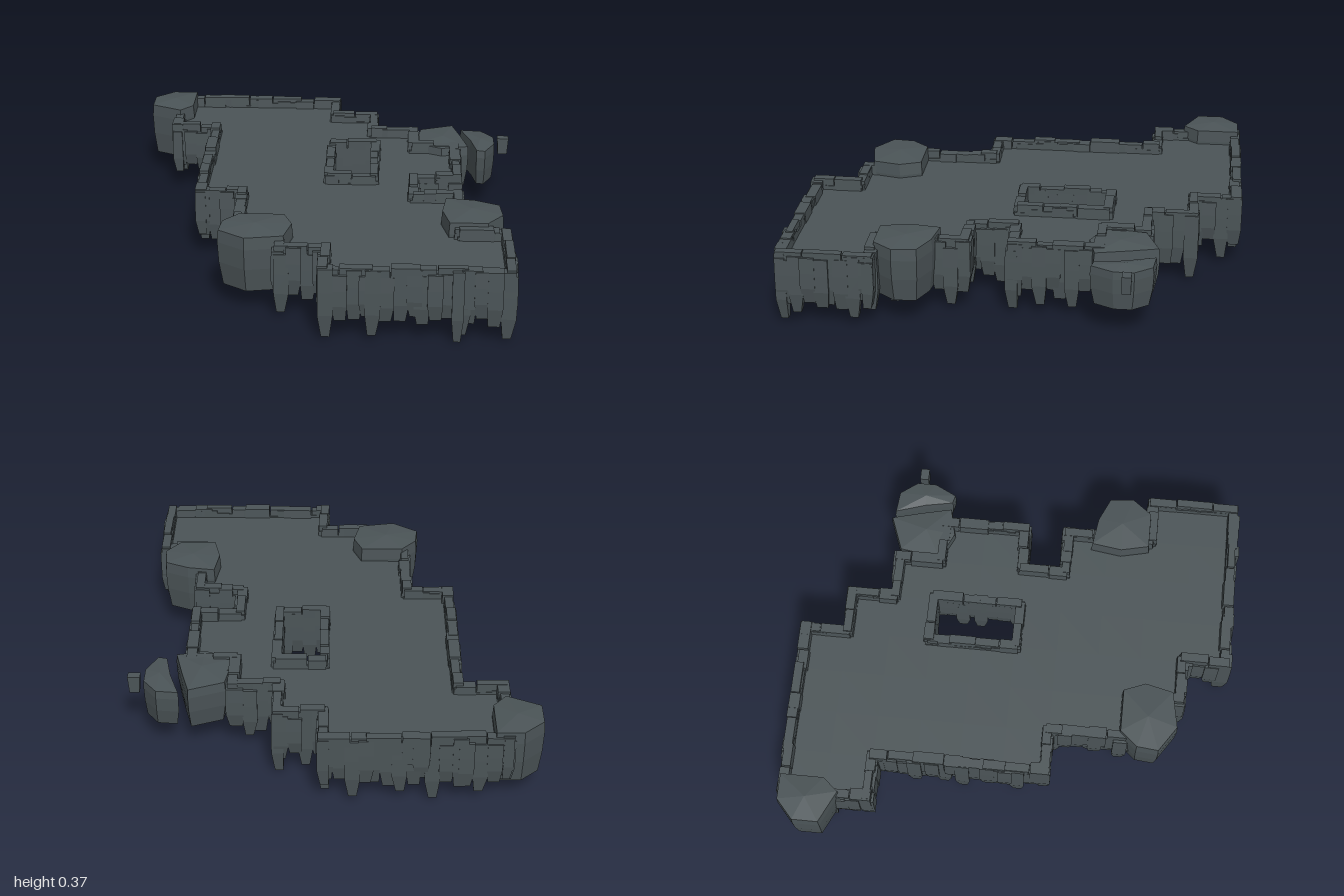
import * as THREE from 'three';
import { mergeGeometries } from 'three/addons/utils/BufferGeometryUtils.js';

// Floor plan: one character per square cell, back row first
const PLAN = [
  '####....',
  '#####...',
  '.#####..',
  '.###.##.',
  '.###.##.',
  '.#####..',
  '..#####.',
  '..#####.',
  '...#####',
  '....####',
];
const CELL_X = 0.196, CELL_Z = 0.194, X0 = -0.745, Z0 = -0.97;
const FLOOR_Y = 0.29;
const filled = (col, row) => PLAN[row]?.[col] === '#';
const isHole = (col, row) => col === 4 && (row === 3 || row === 4);

let seed = 11;
const rand = (lo, hi) => {
  seed = (seed * 16807) % 2147483647;
  return lo + (hi - lo) * (seed / 2147483647);
};

// Faceted normals
function facet(geometry) {
  const g = geometry.index ? geometry.toNonIndexed() : geometry;
  g.deleteAttribute('uv');
  g.computeVertexNormals();
  return g;
}

// Box between two corners whose vertices are moved by a rule
function block(x0, x1, y0, y1, z0, z1, rule, ySegments = 1) {
  const g = new THREE.BoxGeometry(x1 - x0, y1 - y0, z1 - z0, 1, ySegments, 1);
  const p = g.attributes.position, v = new THREE.Vector3();
  for (let i = 0; i < p.count; i++) {
    v.fromBufferAttribute(p, i);
    rule(v, v.y / (y1 - y0) + 0.5);
    p.setXYZ(i, v.x, v.y, v.z);
  }
  g.translate((x0 + x1) / 2, (y0 + y1) / 2, (z0 + z1) / 2);
  return facet(g);
}

// Faceted boulder: outline points run clockwise seen from above
function boulder(points, y0, y1) {
  const n = points.length;
  const cx = points.reduce((s, p) => s + p[0], 0) / n;
  const cz = points.reduce((s, p) => s + p[1], 0) / n;
  const h = y1 - y0;
  const rings = [[y0, 0.86], [y0 + h * 0.4, 0.97], [y0 + h * 0.75, 1], [y1 - 0.012, 0.97]].map(
    ([y, s]) => points.map(([x, z]) => [cx + (x - cx) * s, y, cz + (z - cz) * s]));
  const out = [];
  for (let i = 0; i < n; i++) {
    const j = (i + 1) % n;
    for (let r = 0; r < rings.length - 1; r++) {
      const lo = rings[r], hi = rings[r + 1];
      out.push(...lo[i], ...hi[i], ...hi[j], ...lo[i], ...hi[j], ...lo[j]);
    }
    const top = rings[rings.length - 1];
    out.push(cx, y1, cz, ...top[j], ...top[i]);
    out.push(cx, y0, cz, ...rings[0][i], ...rings[0][j]);
  }
  const g = new THREE.BufferGeometry();
  g.setAttribute('position', new THREE.Float32BufferAttribute(out, 3));
  return facet(g);
}

export function createModel() {
  seed = 11;
  const slate = new THREE.MeshStandardMaterial({ color: 0x4b5457 });
  slate.name = 'slate';
  const model = new THREE.Group();
  model.name = 'rockPlatform';
  const add = (name, geometry) => {
    const mesh = new THREE.Mesh(geometry, slate);
    mesh.name = name;
    model.add(mesh);
  };

  const tiles = [], rims = [], skirts = [];
  const SIDES = [[0, -1], [1, 0], [0, 1], [-1, 0]];

  PLAN.forEach((line, row) => [...line].forEach((mark, col) => {
    if (mark !== '#') return;
    const x = X0 + (col + 0.5) * CELL_X, z = Z0 + (row + 0.5) * CELL_Z;

    // Floor tile with a narrower, uneven underside
    const low = rand(0.13, 0.17);
    tiles.push(block(x - CELL_X / 2, x + CELL_X / 2, low, FLOOR_Y, z - CELL_Z / 2, z + CELL_Z / 2,
      (v, t) => {
        if (t < 0.1) { v.x *= 0.93; v.z *= 0.93; }
      }, 2));

    // Walls on every side that faces empty space; local +z points outward
    SIDES.forEach(([dx, dz]) => {
      if (filled(col + dx, row + dz)) return;
      const inner = isHole(col + dx, row + dz);
      const place = (g) => g.rotateY(Math.atan2(dx, dz))
        .translate(x + dx * CELL_X / 2, 0, z + dz * CELL_Z / 2);

      // Raised rim stones
      const half = CELL_X / 2 + 0.015, split = rand(-0.04, 0.04);
      [[-half, split], [split, half]].forEach(([a, b]) => {
        const back = rand(-0.042, -0.028), front = inner ? 0.014 : rand(0.01, 0.022);
        rims.push(place(block(a, b, 0.2, rand(0.326, 0.345), back, front, (v, t) => {
          if (t > 0.9) { v.x *= 0.96; if (v.z < 0) v.z += 0.008; }
        })));
      });

      // Hanging rock columns, one long tooth among shorter ones
      const count = 4, tooth = Math.floor(rand(0, 4)), step = (2 * half) / count;
      for (let k = 0; k < count; k++) {
        const a = -half + k * step + rand(-0.006, 0.004);
        const long = k === tooth;
        const bottom = long ? rand(0.012, 0.06) : rand(0.07, 0.125);
        const front = inner ? 0.016 : rand(0.014, 0.03);
        const pinch = long ? 0.55 : 0.75, lean = rand(-0.006, 0.006);
        skirts.push(place(block(a, a + step + 0.008, bottom, rand(0.295, 0.335), -0.03, front,
          (v, t) => {
            if (t < 0.1) { v.x = v.x * pinch + lean; v.z = v.z * 0.7 - 0.006; }
            else if (t > 0.9) v.z *= 0.92;
          }, 3)));
      }
    });
  }));

  // Longest tooth on the front edge
  skirts.push(block(0.575, 0.625, 0, 0.33, 0.95, 1, (v, t) => {
    if (t < 0.1) { v.x *= 0.6; v.z = v.z * 0.6 - 0.008; }
  }, 3));

  add('floorTiles', mergeGeometries(tiles));
  add('rimStones', mergeGeometries(rims));
  add('hangingColumns', mergeGeometries(skirts));

  // Corner boulders
  add('backRightBoulder', boulder(
    [[-0.89, -0.90], [-0.80, -0.98], [-0.68, -0.98], [-0.68, -0.78], [-0.74, -0.71], [-0.89, -0.78]],
    0.10, 0.37));
  add('frontRightBoulder', boulder(
    [[-0.34, 0.51], [-0.14, 0.51], [-0.10, 0.61], [-0.13, 0.74], [-0.30, 0.77], [-0.42, 0.69], [-0.41, 0.59]],
    0.10, 0.37));
  add('frontLeftBoulder', boulder(
    [[0.56, 0.31], [0.69, 0.33], [0.80, 0.38], [0.81, 0.49], [0.74, 0.58], [0.57, 0.58], [0.54, 0.45]],
    0.11, 0.37));

  // Split boulder breaking away on the left side
  add('splitBoulder', boulder(
    [[0.46, -0.58], [0.62, -0.64], [0.655, -0.51], [0.69, -0.36], [0.56, -0.33], [0.43, -0.39]],
    0.12, 0.34));
  add('splitBoulderHalf', boulder(
    [[0.66, -0.63], [0.76, -0.62], [0.82, -0.54], [0.82, -0.45], [0.77, -0.35], [0.73, -0.36], [0.705, -0.49]],
    0.13, 0.32));
  add('loosePebble', block(0.835, 0.89, 0.24, 0.32, -0.53, -0.49, (v, t) => {
    if (t < 0.1) v.x *= 0.8;
  }));

  return model;
}
